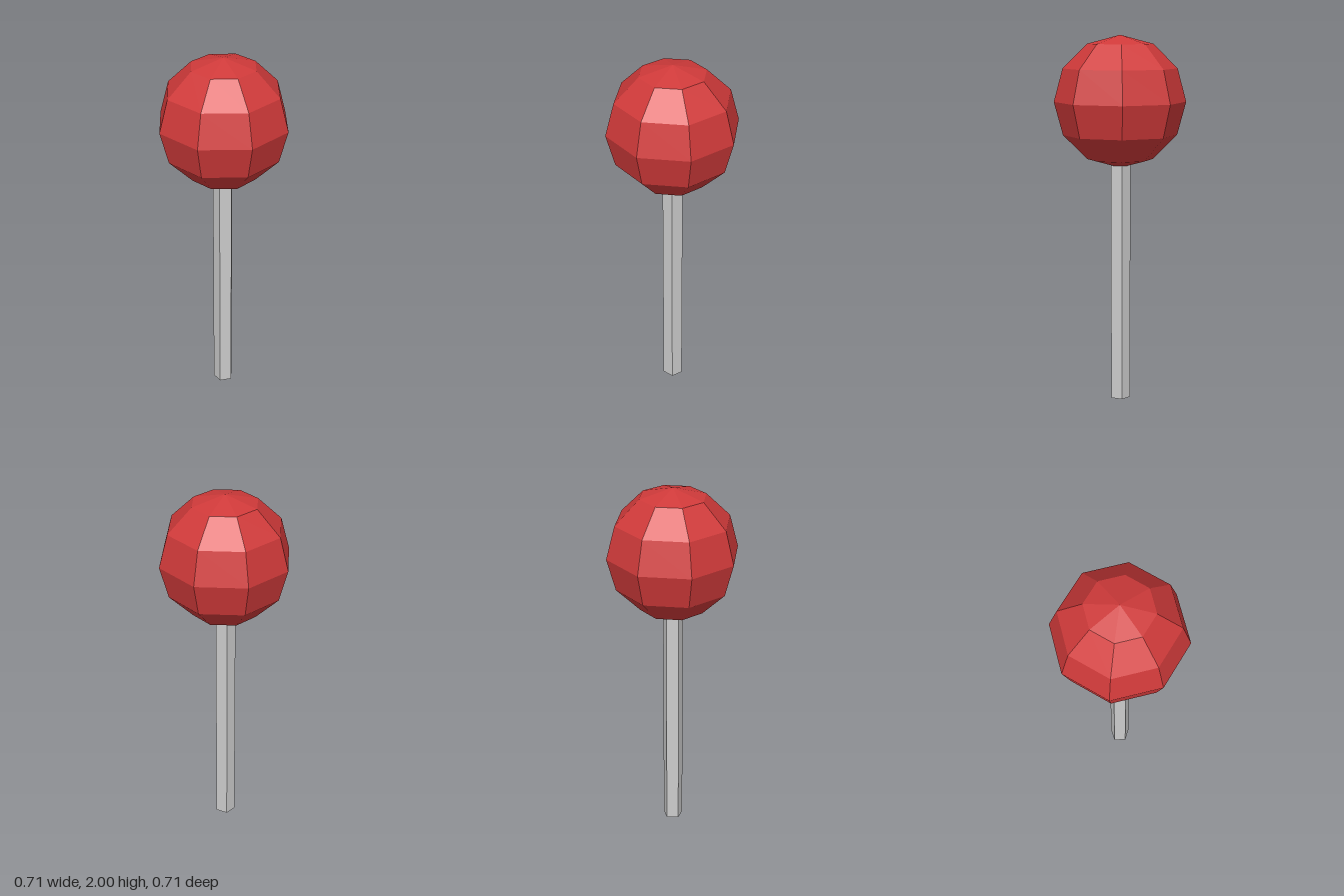
import * as THREE from 'three';

const HEIGHT = 2;
const HEAD_RADIUS = 0.356;
const STICK_RADIUS = 0.056;

export function createModel() {
  const group = new THREE.Group();
  group.name = 'lollipop';
  const headY = HEIGHT - HEAD_RADIUS;

  // Faceted ball with eight sides and six bands
  const head = new THREE.Mesh(
    new THREE.SphereGeometry(HEAD_RADIUS, 8, 6),
    new THREE.MeshStandardMaterial({ color: 0xd03a3a, flatShading: true })
  );
  head.name = 'head';
  head.position.y = headY;

  // Five-sided stick with one edge to the front, its top sunk into the ball
  const stickHeight = headY - HEAD_RADIUS + 0.04;
  const stick = new THREE.Mesh(
    new THREE.CylinderGeometry(STICK_RADIUS, STICK_RADIUS, stickHeight, 5),
    new THREE.MeshStandardMaterial({ color: 0xcccccc, flatShading: true })
  );
  stick.name = 'stick';
  stick.position.y = stickHeight / 2;

  group.add(head, stick);
  return group;
}
